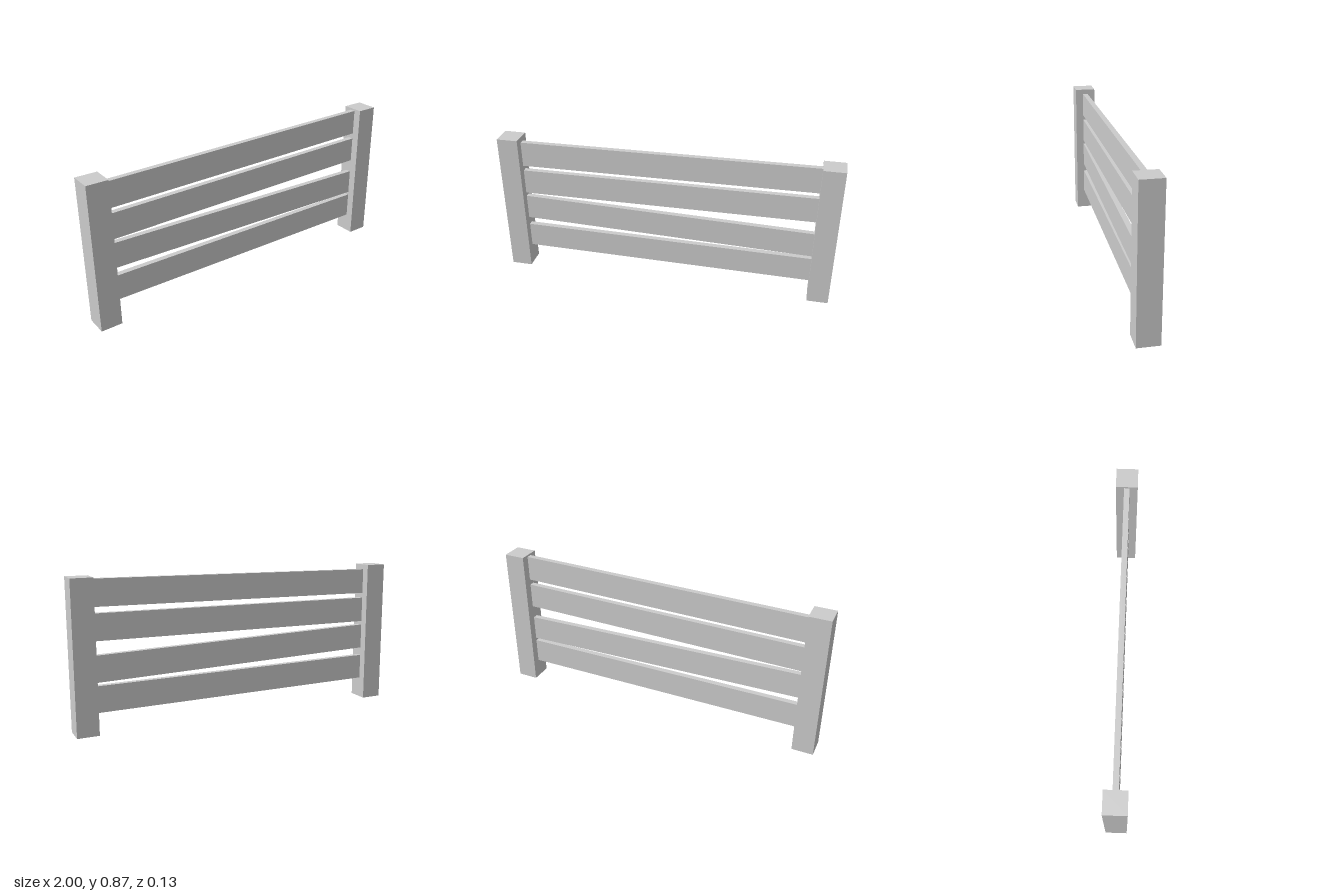
import * as THREE from 'three';

const POST = { width: 0.125, height: 0.868, depth: 0.128 };
const RAIL = { height: 0.152, depth: 0.032 };
const INNER = 1 - POST.width; // x of the posts' inner faces

// Centre height of each rail at its right (-x) and left (+x) end
const RAILS = [
  ['topRail', 0.762, 0.781],
  ['upperRail', 0.579, 0.594],
  ['lowerRail', 0.404, 0.362],
  ['bottomRail', 0.202, 0.191],
];

// Square post, open underneath
function postGeometry() {
  const geometry = new THREE.BoxGeometry(POST.width, POST.height, POST.depth);
  const index = Array.from(geometry.index.array);
  index.splice(18, 6); // drop the bottom face
  geometry.setIndex(index);
  return geometry;
}

export function createModel() {
  const group = new THREE.Group();
  group.name = 'fence';

  const postMaterial = new THREE.MeshStandardMaterial({ color: 0xcccccc, side: THREE.DoubleSide });
  const railMaterial = new THREE.MeshStandardMaterial({ color: 0xcccccc });

  // Posts at both ends
  const geometry = postGeometry();
  for (const side of [-1, 1]) {
    const post = new THREE.Mesh(geometry, postMaterial);
    post.name = side > 0 ? 'leftPost' : 'rightPost';
    post.position.set(side * (1 - POST.width / 2), POST.height / 2, 0);
    group.add(post);
  }

  // Slightly crooked rails, ends just sunk into the posts
  for (const [name, yRight, yLeft] of RAILS) {
    const length = 2 * INNER + 0.012;
    const rail = new THREE.Mesh(new THREE.BoxGeometry(length, RAIL.height, RAIL.depth), railMaterial);
    rail.name = name;
    rail.position.y = (yRight + yLeft) / 2;
    rail.rotation.z = Math.atan2(yLeft - yRight, 2 * INNER);
    group.add(rail);
  }

  return group;
}
